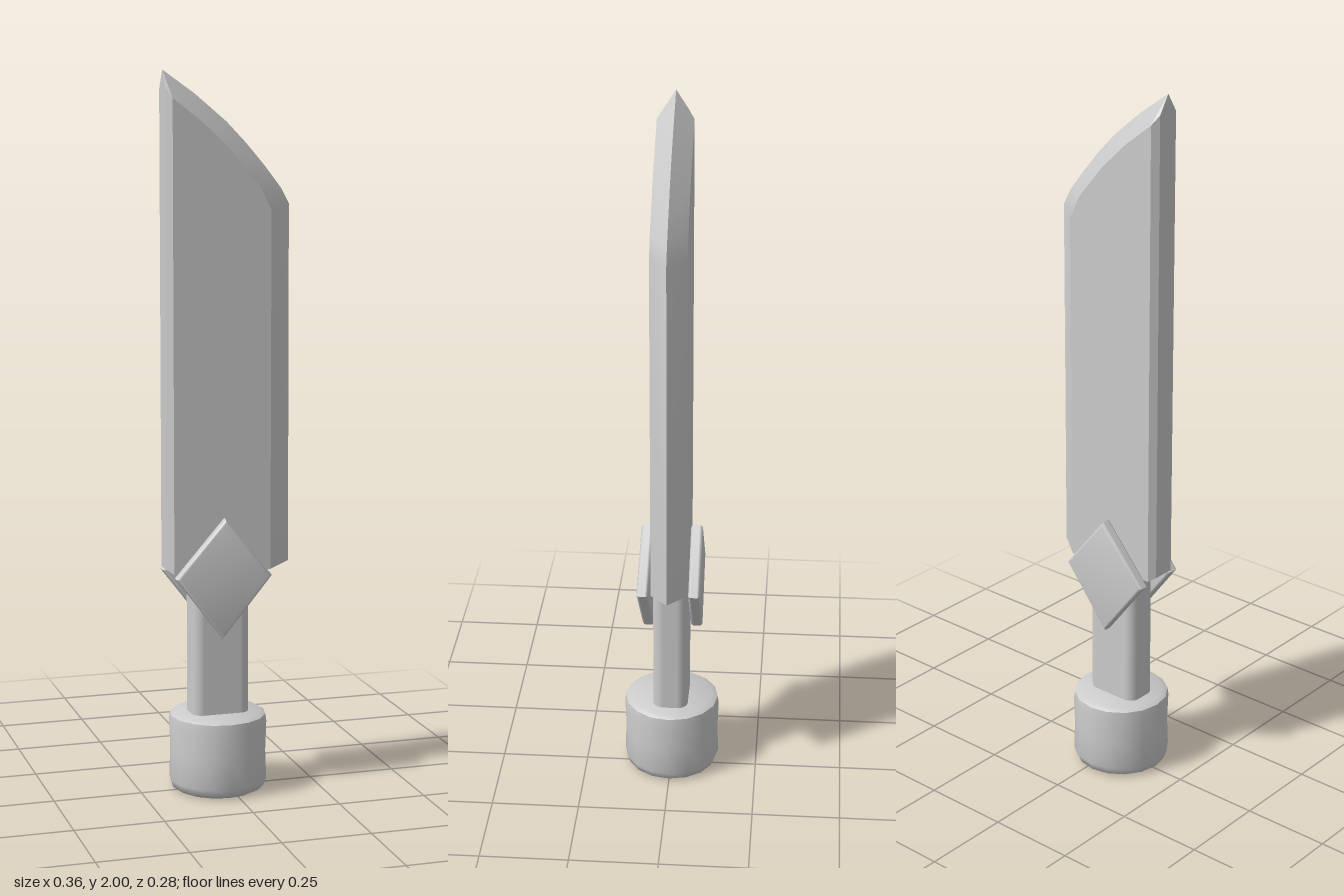
import * as THREE from 'three';
import { toCreasedNormals } from 'three/addons/utils/BufferGeometryUtils.js';
import { ConvexGeometry } from 'three/addons/geometries/ConvexGeometry.js';
import { RoundedBoxGeometry } from 'three/addons/geometries/RoundedBoxGeometry.js';

const AXIS = -0.027; // x of the handle's centre line

export function createModel() {
  const group = new THREE.Group();
  group.name = 'knife';
  const material = new THREE.MeshStandardMaterial({ color: 0xcccccc });
  const add = (name, geometry, x = 0, y = 0, z = 0) => {
    const mesh = new THREE.Mesh(geometry, material);
    mesh.name = name;
    mesh.position.set(x, y, z);
    group.add(mesh);
    return mesh;
  };

  // Blade: a sharp centre outline, two flat cheeks and a chamfered spine
  const edge = [[0.18, 0.64], [0.178, 1.64], [0.155, 1.683], [0.106, 1.746], [0.055, 1.805], [0, 1.862], [-0.09, 1.937], [-0.18, 2]];
  const cheek = [[0.112, 0.63], [0.112, 1.625], [0.08, 1.69], [0, 1.785], [-0.08, 1.86], [-0.165, 1.925], [-0.165, 0.63]];
  const spine = [[-0.18, 0.64], [-0.18, 1.95]];
  const points = edge.map(([x, y]) => new THREE.Vector3(x, y, 0));
  for (const s of [-1, 1]) {
    for (const [x, y] of cheek) points.push(new THREE.Vector3(x, y, s * 0.05));
    for (const [x, y] of spine) points.push(new THREE.Vector3(x, y, s * 0.032));
  }
  add('blade', toCreasedNormals(new ConvexGeometry(points), 0.45));

  // Handle: flattened grip with rounded sides
  add('handle', new RoundedBoxGeometry(0.165, 0.5, 0.1, 4, 0.03), AXIS, 0.42, 0);

  // Pommel: short round cap with softened rims
  const profile = [[0, 0], [0.115, 0], [0.13, 0.008], [0.138, 0.03], [0.135, 0.11], [0.138, 0.195], [0.135, 0.215], [0.122, 0.223], [0, 0.223]]
    .map(([x, y]) => new THREE.Vector2(x, y));
  add('pommel', toCreasedNormals(new THREE.LatheGeometry(profile, 16).toNonIndexed(), 0.8), AXIS, 0, 0);

  // Guard: a bevelled diamond plate on each cheek
  const diamond = new THREE.Shape([[0.136, 0.005], [0.004, 0.168], [-0.136, 0.005], [-0.004, -0.168]]
    .map(([x, y]) => new THREE.Vector2(x, y)));
  const plate = new THREE.ExtrudeGeometry(diamond, {
    depth: 0.016, bevelThickness: 0.009, bevelSize: 0.009, bevelOffset: -0.009, bevelSegments: 3,
  });
  plate.translate(0, 0, -0.008);
  const plateGeometry = toCreasedNormals(plate, 0.8);
  add('frontGuardPlate', plateGeometry, -0.03, 0.616, 0.069).rotation.y = -0.045;
  add('backGuardPlate', plateGeometry, -0.034, 0.616, -0.071);

  return group;
}
